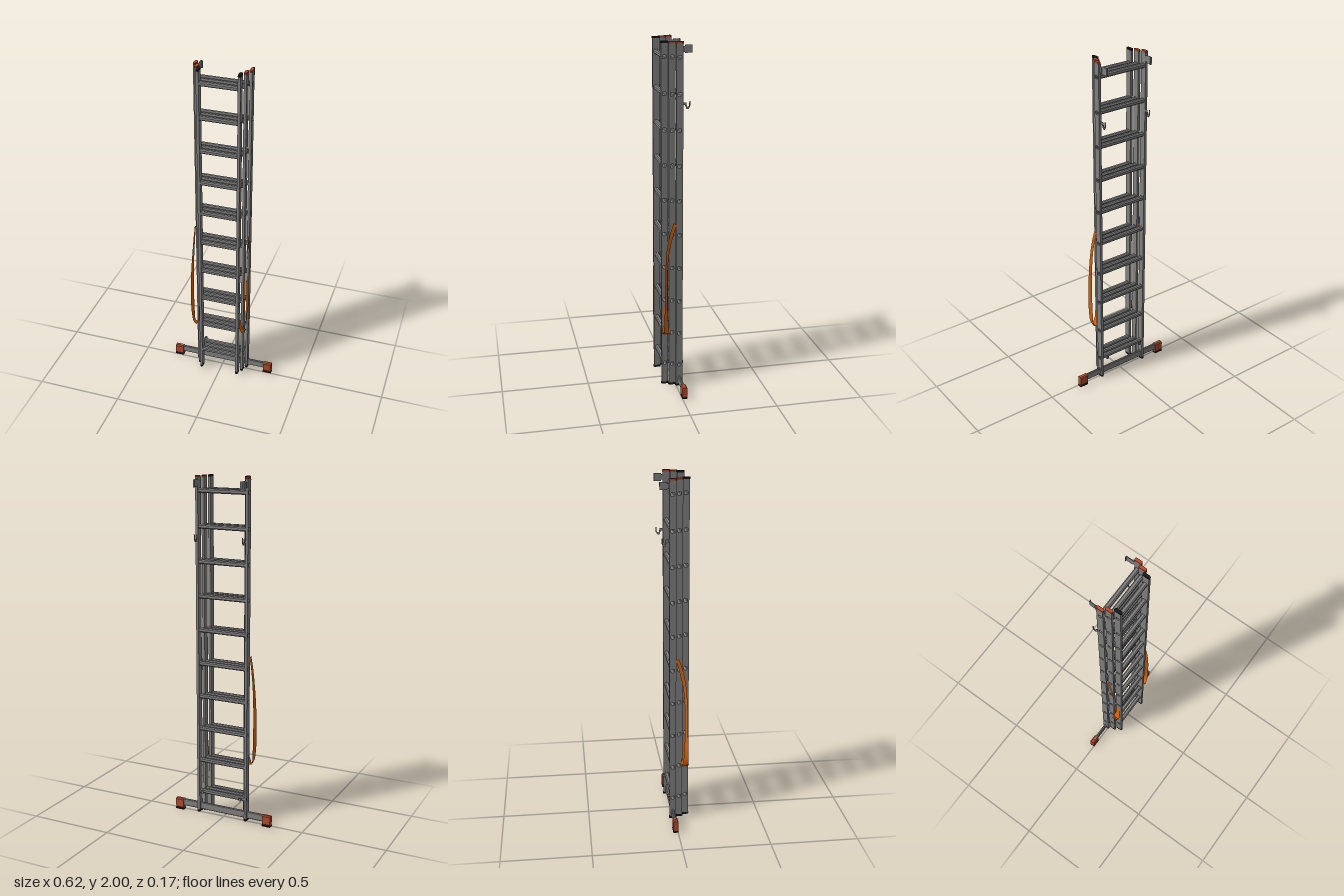
import * as THREE from 'three';

const mat = (name, color, side = THREE.FrontSide) => {
  const m = new THREE.MeshStandardMaterial({ color, side });
  m.name = name;
  return m;
};

const TOP = 1.992, BOTTOM = 0.02, RAIL_W = 0.015, RAIL_D = 0.038;
const RUNG = 0.025, BORE = 0.02;
const rungHeights = Array.from({ length: 10 }, (_, i) => 0.145 + i * 0.197);

// Rectangle with chamfered corners, centred on (cx, cy)
function chamfered(w, h, c, cx = 0, cy = 0, Type = THREE.Shape) {
  const a = w / 2, b = h / 2;
  return new Type([
    [-a + c, -b], [a - c, -b], [a, -b + c], [a, b - c],
    [a - c, b], [-a + c, b], [-a, b - c], [-a, -b + c],
  ].map(([x, y]) => new THREE.Vector2(cx + x, cy + y)));
}

// Extrudes a (z, y) profile along x, centred on x = 0
function alongX(shape, length) {
  const g = new THREE.ExtrudeGeometry(shape, { depth: length, bevelEnabled: false });
  g.translate(0, 0, -length / 2);
  g.rotateY(-Math.PI / 2);
  return g;
}

export function createModel() {
  const metal = mat('aluminium', 0x808080);
  const red = mat('red plastic', 0xb04a2e);
  const black = mat('black rubber', 0x1a1a1a);
  const orange = mat('orange webbing', 0xd9660f, THREE.DoubleSide);

  const model = new THREE.Group();
  model.name = 'ladder';
  const add = (parent, name, geometry, material, x = 0, y = 0, z = 0) => {
    const m = new THREE.Mesh(geometry, material);
    m.name = name;
    m.position.set(x, y, z);
    parent.add(m);
    return m;
  };

  // Side rail pierced by the open ends of the rungs
  const railShape = chamfered(RAIL_D, TOP - BOTTOM, 0.002, 0, (TOP + BOTTOM) / 2);
  for (const y of rungHeights) {
    railShape.holes.push(chamfered(BORE, BORE, 0.003, 0, y, THREE.Path));
  }
  const railGeo = alongX(railShape, RAIL_W);

  // Hollow rung profile
  const rungShape = chamfered(RUNG, RUNG, 0.006);
  rungShape.holes.push(chamfered(BORE, BORE, 0.003, 0, 0, THREE.Path));

  // Rounded end cap for the rails
  const capGeo = (h) => {
    const g = new THREE.ExtrudeGeometry(chamfered(0.017, 0.043, 0.005), { depth: h, bevelEnabled: false });
    g.rotateX(-Math.PI / 2);
    return g;
  };
  const topCap = capGeo(0.01), footCap = capGeo(0.012);

  // Three nested sections, each narrower than the one behind it
  const sections = [
    { name: 'backSection', x: 0.153, z: -0.013, cap: red },
    { name: 'middleSection', x: 0.134, z: 0.025, cap: red },
    { name: 'frontSection', x: 0.113, z: 0.063, cap: black },
  ];
  for (const s of sections) {
    const group = new THREE.Group();
    group.name = s.name;
    group.position.z = s.z;
    model.add(group);
    for (const side of [-1, 1]) {
      add(group, 'rail', railGeo, metal, side * s.x);
      add(group, 'topCap', topCap, s.cap, side * s.x, 1.99);
      add(group, 'footCap', footCap, black, side * s.x, 0.013);
    }
    const rungGeo = alongX(rungShape, 2 * s.x - RAIL_W + 0.002);
    for (const y of rungHeights) add(group, 'rung', rungGeo, metal, 0, y);
  }

  // Stabiliser bar with plastic ends and rubber soles
  const stabiliser = new THREE.Group();
  stabiliser.name = 'stabiliser';
  stabiliser.position.z = -0.013;
  model.add(stabiliser);
  add(stabiliser, 'bar', alongX(chamfered(0.014, 0.044, 0.004), 0.56), metal, 0, 0.048);
  const endGeo = alongX(chamfered(0.029, 0.06, 0.006), 0.05);
  const soleGeo = alongX(chamfered(0.031, 0.011, 0.003), 0.052);
  const boltGeo = new THREE.CylinderGeometry(0.004, 0.004, 0.003, 8);
  for (const side of [-1, 1]) {
    add(stabiliser, 'barEnd', endGeo, red, side * 0.285, 0.04);
    add(stabiliser, 'sole', soleGeo, black, side * 0.285, 0.0055);
    add(stabiliser, 'bolt', boltGeo, metal, side * 0.285, 0.071);
  }

  // Catch hook profile in (z, y)
  const hookShape = new THREE.Shape([
    [0, 0.012], [-0.012, 0.008], [-0.02, -0.012], [-0.03, -0.014], [-0.04, 0.002],
    [-0.041, 0.03], [-0.036, 0.03], [-0.035, 0.006], [-0.028, -0.004],
    [-0.022, 0.002], [-0.018, 0.022], [0, 0.024],
  ].map(([z, y]) => new THREE.Vector2(z, y)));
  const hookGeo = alongX(hookShape, 0.005);

  for (const side of [-1, 1]) {
    const brackets = new THREE.Group();
    brackets.name = side > 0 ? 'leftBrackets' : 'rightBrackets';
    model.add(brackets);
    const box = (name, w, h, d, x, y, z) =>
      add(brackets, name, new THREE.BoxGeometry(w, h, d), metal, side * x, y, z);
    // Guide bracket at the top of the back section
    box('guideMount', 0.008, 0.03, 0.016, 0.149, 1.96, -0.038);
    box('guidePlate', 0.004, 0.042, 0.038, 0.146, 1.96, -0.062);
    box('guideFlange', 0.011, 0.042, 0.003, 0.142, 1.96, -0.0805);
    // Catch hook
    add(brackets, 'catchHook', hookGeo, metal, side * 0.147, 1.652, -0.032);
    // Lower hooks gripping the section behind
    box('middleHook', 0.003, 0.018, 0.05, 0.126, 0.145, -0.017);
    box('middleHookLip', 0.012, 0.018, 0.003, 0.121, 0.145, -0.041);
    box('frontHook', 0.003, 0.018, 0.045, 0.105, 0.145, 0.025);
    box('frontHookLip', 0.01, 0.018, 0.003, 0.101, 0.145, 0.003);
  }

  // Webbing strap: centre line, with the width direction turning along it
  const strapPath = new THREE.CatmullRomCurve3([
    [0.161, 1.0, 0.012], [0.161, 0.93, 0.034], [0.162, 0.83, 0.054], [0.166, 0.7, 0.063],
    [0.168, 0.55, 0.065], [0.166, 0.42, 0.064], [0.158, 0.352, 0.062],
    [0.143, 0.338, 0.062], [0.131, 0.37, 0.062], [0.123, 0.48, 0.062],
  ].map((p) => new THREE.Vector3(...p)));
  const widthPath = new THREE.CatmullRomCurve3([
    [0, 0.006, 0.009], [0.001, 0.004, 0.01], [0.003, 0, 0.009], [0.006, 0, 0.007],
    [0.007, 0, 0.008], [0.005, 0, 0.012], [0, 0, 0.015],
    [0, 0, 0.015], [0, 0, 0.015], [0, 0, 0.014],
  ].map((p) => new THREE.Vector3(...p)));
  const STEPS = 48;
  for (const side of [-1, 1]) {
    const pos = [], index = [];
    for (let i = 0; i <= STEPS; i++) {
      const c = strapPath.getPoint(i / STEPS), w = widthPath.getPoint(i / STEPS);
      for (const k of [-1, 1]) pos.push(side * (c.x + k * w.x), c.y + k * w.y, c.z + k * w.z);
      const a = i * 2;
      if (i < STEPS) index.push(a, a + 1, a + 2, a + 1, a + 3, a + 2);
    }
    const g = new THREE.BufferGeometry();
    g.setAttribute('position', new THREE.Float32BufferAttribute(pos, 3));
    g.setIndex(index);
    g.computeVertexNormals();
    add(model, side > 0 ? 'leftStrap' : 'rightStrap', g, orange);
  }

  return model;
}
